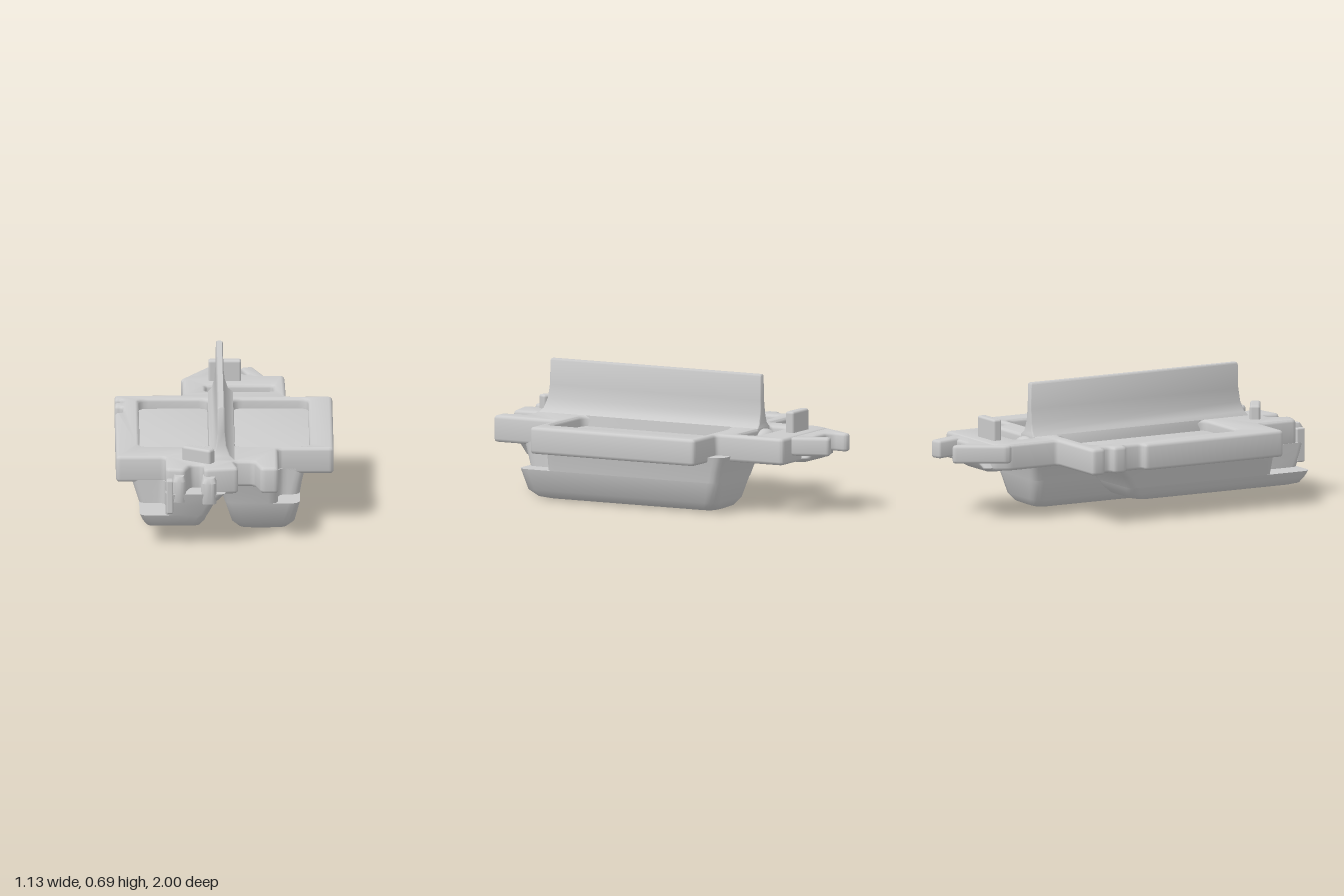
import * as THREE from 'three';
import { toCreasedNormals } from 'three/addons/utils/BufferGeometryUtils.js';
import { RoundedBoxGeometry } from 'three/addons/geometries/RoundedBoxGeometry.js';

const material = new THREE.MeshStandardMaterial({ color: 0xcccccc });

// Polygon of [x, z] corners, softened with radius r, as Vector2(x, -z) points
function roundPoly(corners, r) {
  const p = corners.map(([x, z]) => new THREE.Vector2(x, -z));
  const out = [];
  p.forEach((c, i) => {
    const a = p[(i + p.length - 1) % p.length], b = p[(i + 1) % p.length];
    const ra = Math.min(r, a.distanceTo(c) * 0.45), rb = Math.min(r, b.distanceTo(c) * 0.45);
    const s = c.clone().add(a.clone().sub(c).setLength(ra));
    const e = c.clone().add(b.clone().sub(c).setLength(rb));
    out.push(...new THREE.QuadraticBezierCurve(s, c, e).getPoints(4));
  });
  return out;
}

const rect = (x0, x1, z0, z1) => [[x0, z1], [x1, z1], [x1, z0], [x0, z0]];

// Horizontal slab with bevelled edges and optional holes
function slab(corners, y0, y1, r, bevel, holes = []) {
  const shape = new THREE.Shape(roundPoly(corners, r));
  holes.forEach(([h, hr]) => shape.holes.push(new THREE.Path(roundPoly(h, hr).reverse())));
  const g = new THREE.ExtrudeGeometry(shape, {
    depth: y1 - y0 - 2 * bevel, bevelSize: bevel, bevelThickness: bevel,
    bevelOffset: -bevel, bevelSegments: 3,
  });
  g.rotateX(-Math.PI / 2).translate(0, y0 + bevel, 0);
  return toCreasedNormals(g, 0.7);
}

// Closed solid through rising cross-sections: [y, x0, x1, z0, z1]
function loft(rows, r, outline = rect) {
  const rings = rows.map(([y, ...b]) => roundPoly(outline(...b), r).map((p) => [p.x, y, -p.y]));
  const n = rings[0].length, index = [];
  for (let i = 0; i < rings.length - 1; i++) {
    for (let j = 0; j < n; j++) {
      const a = i * n + j, b = i * n + (j + 1) % n;
      index.push(a, b, b + n, a, b + n, a + n);
    }
  }
  const caps = [0, rings.length - 1];
  caps.forEach((k) => {
    const flat = rings[k].map((p) => new THREE.Vector2(p[0], -p[2]));
    THREE.ShapeUtils.triangulateShape(flat, []).forEach(([a, b, c]) => {
      if (k === 0) index.push(a, c, b);
      else index.push(k * n + a, k * n + b, k * n + c);
    });
  });
  const g = new THREE.BufferGeometry();
  g.setAttribute('position', new THREE.Float32BufferAttribute(rings.flat(2), 3));
  g.setIndex(index);
  return toCreasedNormals(g, 0.75);
}

export function createModel() {
  const model = new THREE.Group();
  const add = (name, geometry) => {
    const mesh = new THREE.Mesh(geometry, material);
    mesh.name = name;
    model.add(mesh);
    return mesh;
  };
  const block = (name, w, h, d, x, y, z, turn = 0) => {
    const mesh = add(name, new RoundedBoxGeometry(w, h, d, 2, Math.min(w, h, d) * 0.25));
    mesh.position.set(x, y, z);
    mesh.rotation.y = turn;
  };

  // Main deck, with front notches, side clip notches, tray openings and rear slot
  const outline = [
    [-0.565, 0.705], [-0.31, 0.705], [-0.31, 0.93], [-0.21, 0.95], [-0.18, 0.85],
    [-0.115, 0.85], [-0.11, 0.95], [0.07, 0.92], [0.045, 0.79], [0.15, 0.79],
    [0.185, 0.925], [0.275, 0.925], [0.275, 0.55], [0.565, 0.55], [0.565, -0.425],
    [0.325, -0.425], [0.32, -0.815], [-0.17, -0.815], [-0.21, -0.74], [-0.21, -0.45],
    [-0.565, -0.45], [-0.565, -0.37], [-0.525, -0.37], [-0.525, -0.32], [-0.565, -0.32],
    [-0.565, -0.24], [-0.525, -0.24], [-0.525, -0.13], [-0.565, -0.13],
  ];
  const trays = [['left', 0.05, 0.44], ['right', -0.44, -0.08]];
  add('deck', slab(outline, 0.27, 0.41, 0.025, 0.018, [
    ...trays.map(([, a, b]) => [rect(a, b, -0.38, 0.51), 0.05]),
    [rect(-0.09, 0.26, -0.63, -0.52), 0.02],
  ]));

  // Sunken tray floors
  trays.forEach(([side, a, b]) =>
    add(side + 'TrayFloor', slab(rect(a - 0.03, b + 0.03, -0.41, 0.54), 0.28, 0.355, 0.04, 0.005)));

  // Two hanging hulls, each with an outer front corner stepped in above y = 0.16
  add('leftHullLower', loft([
    [0, 0.11, 0.28, -0.38, 0.61], [0.012, 0.07, 0.325, -0.41, 0.65],
    [0.05, 0.035, 0.362, -0.437, 0.69], [0.16, 0.0, 0.39, -0.465, 0.72],
  ], 0.06));
  add('leftHullUpper', loft([
    [0.16, 0.0, 0.39, -0.465, 0.72], [0.22, -0.02, 0.4, -0.48, 0.735],
    [0.3, -0.06, 0.42, -0.51, 0.76],
  ], 0.05, (x0, x1, z0, z1) =>
    [[x0, z1], [0.275, z1], [0.275, 0.55], [x1, 0.55], [x1, z0], [x0, z0]]));
  add('rightHullLower', loft([
    [0.085, -0.38, -0.17, -0.06, 0.87], [0.095, -0.41, -0.13, -0.1, 0.905],
    [0.125, -0.43, -0.105, -0.13, 0.925], [0.16, -0.445, -0.09, -0.15, 0.94],
  ], 0.05));
  add('rightHullUpper', loft([
    [0.16, -0.445, -0.09, -0.15, 0.94], [0.22, -0.465, -0.06, -0.19, 0.965],
    [0.285, -0.485, 0.0, -0.25, 0.985],
  ], 0.04, (x0, x1, z0, z1) =>
    [[x0, 0.705], [-0.31, 0.705], [-0.31, z1], [x1, z1], [x1, z0], [x0, z0]]));

  // Upright fin flaring into the deck
  add('fin', loft([
    [0.34, -0.085, 0.055, -0.52, 0.78], [0.41, -0.08, 0.05, -0.52, 0.78],
    [0.43, -0.06, 0.025, -0.515, 0.765], [0.48, -0.047, 0.008, -0.512, 0.75],
    [0.55, -0.04, 0, -0.51, 0.742], [0.678, -0.038, -0.002, -0.508, 0.74],
    [0.686, -0.033, -0.007, -0.503, 0.735],
  ], 0.008));

  // Small tabs standing on the deck
  block('frontTab', 0.17, 0.13, 0.055, -0.138, 0.418, 0.783, -0.55);
  block('rearTab', 0.17, 0.14, 0.05, 0.01, 0.45, -0.73);

  // Rounded lump in the rear slot
  const lump = add('slotLump', new THREE.SphereGeometry(1, 20, 12));
  lump.scale.set(0.08, 0.06, 0.06);
  lump.position.set(-0.01, 0.345, -0.525);

  // Front catch: two cheeks beside the pocket, and a thin bar
  [[-0.24, 0.07, 0.32], [-0.085, 0.08, 0.31]].forEach(([x, w, y]) =>
    add('frontCheek', loft([
      [y - 0.08, x - w / 2, x + w / 2, 0.86, 0.98], [y + 0.035, x - w / 2, x + w / 2, 0.86, 1],
      [y + 0.06, x - w / 2 + 0.01, x + w / 2 - 0.01, 0.87, 0.985],
    ], 0.03)));
  block('frontBar', 0.035, 0.18, 0.05, -0.288, 0.27, 0.96);

  // Rear fork with two splayed prongs
  add('rearFork', slab([
    [-0.21, -0.72], [0.26, -0.72], [0.22, -0.82], [0.155, -1], [0.09, -0.98], [0.13, -0.84],
    [0.09, -0.885], [-0.02, -0.885], [-0.05, -0.92], [-0.04, -0.985], [-0.075, -1], [-0.22, -0.76],
  ], 0.31, 0.405, 0.02, 0.015));
  add('forkGusset', loft([
    [0.262, -0.14, 0.1, -0.82, -0.72], [0.285, -0.16, 0.12, -0.86, -0.65],
    [0.33, -0.12, 0.1, -0.885, -0.64],
  ], 0.03));

  return model;
}
